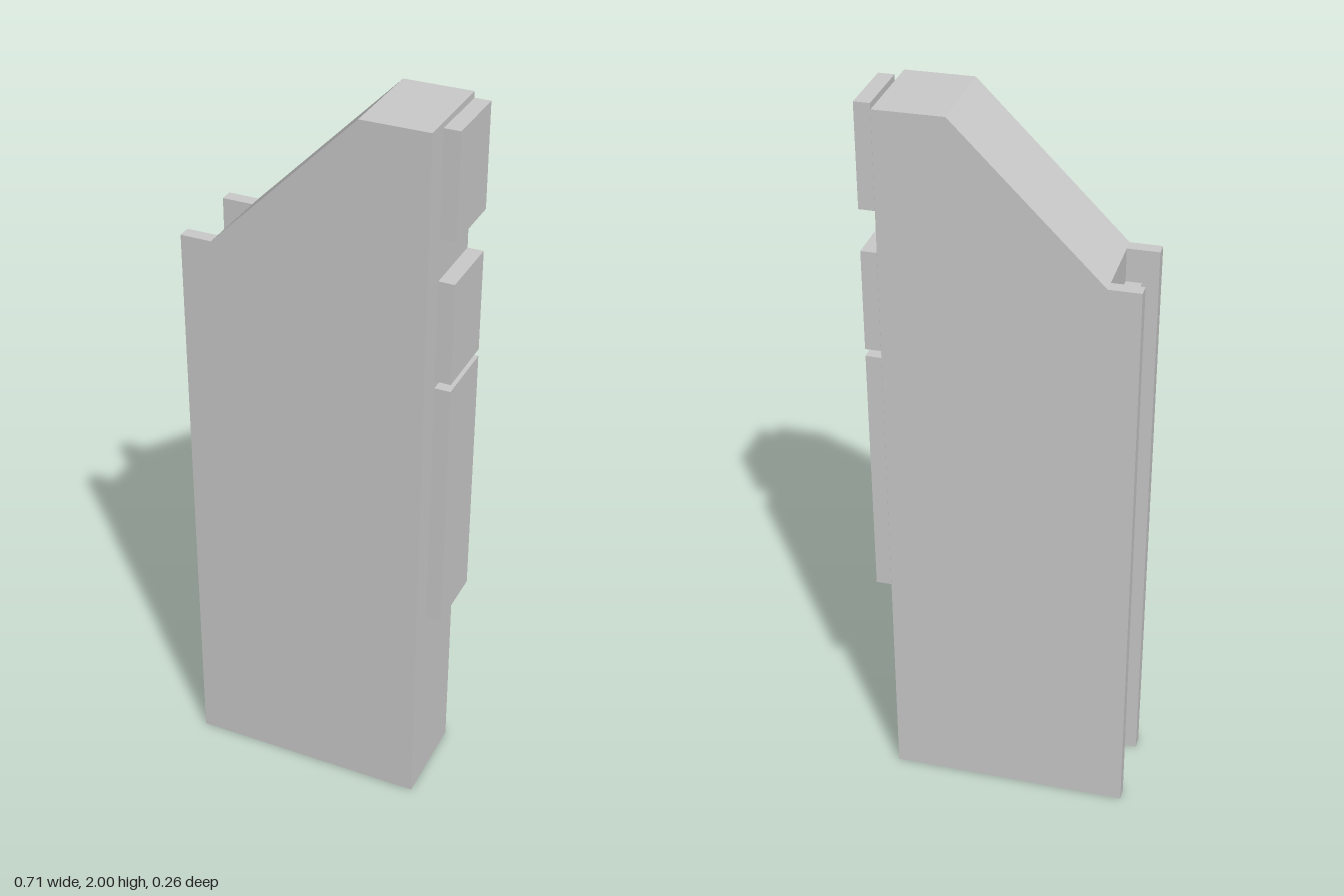
import * as THREE from 'three';

export function createModel() {
  const group = new THREE.Group();
  const material = new THREE.MeshStandardMaterial({ color: 0xcccccc, flatShading: true });

  // Box given by its min and max corners
  function box(name, [x0, y0, z0], [x1, y1, z1]) {
    const mesh = new THREE.Mesh(new THREE.BoxGeometry(x1 - x0, y1 - y0, z1 - z0), material);
    mesh.position.set((x0 + x1) / 2, (y0 + y1) / 2, (z0 + z1) / 2);
    mesh.name = name;
    group.add(mesh);
  }

  const halfDepth = 0.13, inner = 0.094, channelBack = -0.271, shoulder = 1.608;

  // Main slab with a sloped top
  const outline = new THREE.Shape([
    [channelBack, 0], [0.3, 0], [0.3, 2], [0.12, 2], [channelBack, shoulder],
  ].map(([x, y]) => new THREE.Vector2(x, y)));
  const bodyGeometry = new THREE.ExtrudeGeometry(outline, { depth: halfDepth * 2, bevelEnabled: false });
  bodyGeometry.translate(0, 0, -halfDepth);
  const body = new THREE.Mesh(bodyGeometry, material);
  body.name = 'body';
  group.add(body);

  // Flanges on both sides of the ladder channel
  box('frontFlange', [-0.355, 0, inner], [channelBack, shoulder, halfDepth]);
  box('backFlange', [-0.355, 0, -halfDepth], [channelBack, shoulder, -inner]);

  // Ladder rungs inside the channel
  for (let i = 0; i < 10; i++) {
    const y = 0.02 + i * 0.164;
    box(`rung${i + 1}`, [-0.313, y, -inner], [channelBack, y + 0.022, inner]);
  }

  // Panels standing just off the opposite side
  [['lowerPanel', 0.604, 1.318], ['middlePanel', 1.338, 1.613], ['upperPanel', 1.725, 2]]
    .forEach(([name, y0, y1]) => box(name, [0.313, y0, -inner], [0.355, y1, inner]));

  return group;
}
